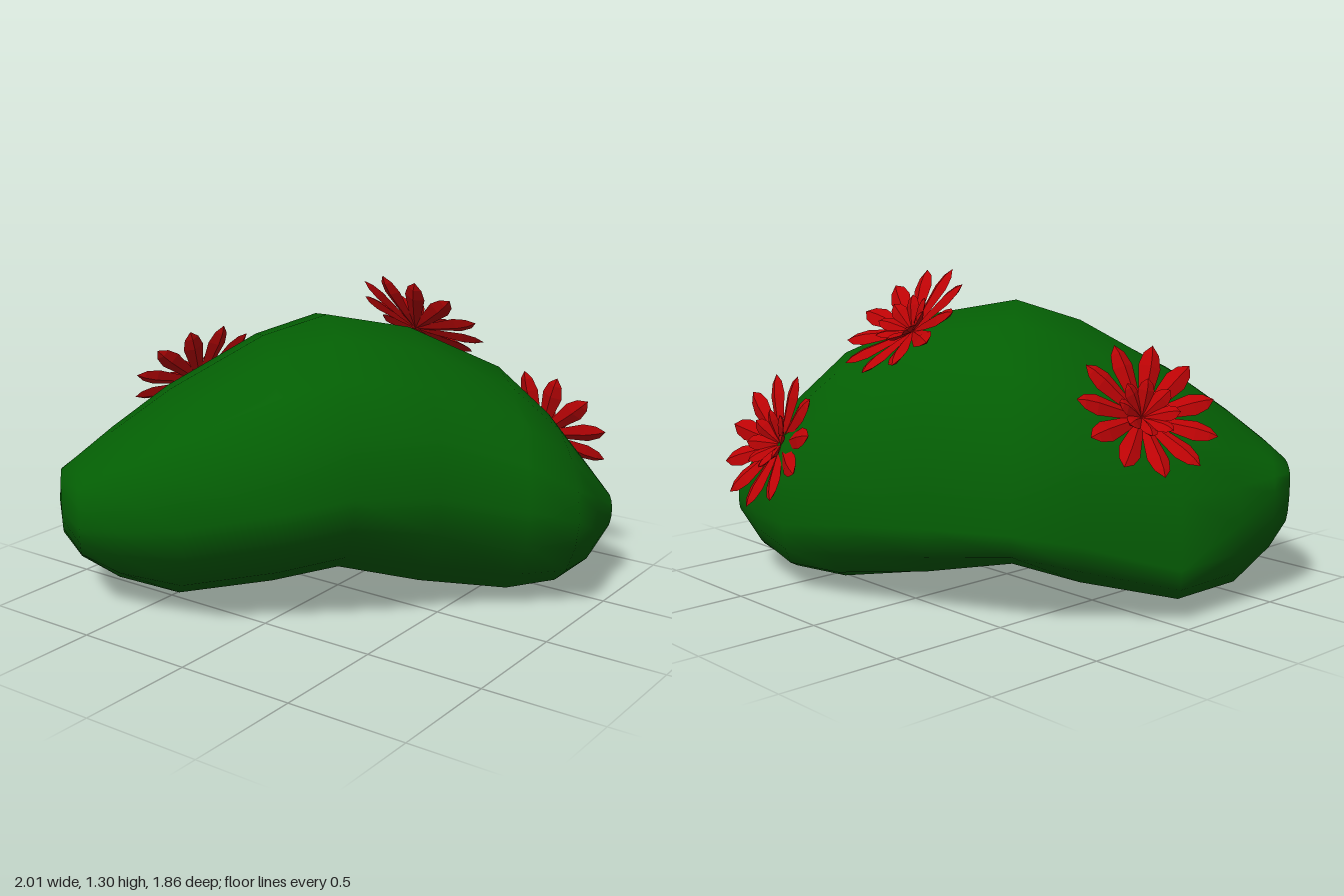
import * as THREE from 'three';
import { mergeGeometries } from 'three/addons/utils/BufferGeometryUtils.js';

// Cross-sections along the bush's long diagonal:
// [along, back, front, ridge, keel, bottom, top, height of back bulge, height of front bulge]
const SECTIONS = [
  [-1.14, -0.25, 0.04, -0.10, -0.12, 0.27, 0.53, 0.48, 0.42],
  [-1.07, -0.33, 0.24, -0.07, -0.14, 0.17, 0.59, 0.44, 0.40],
  [-0.92, -0.46, 0.35, -0.07, -0.21, 0.05, 0.71, 0.34, 0.42],
  [-0.68, -0.68, 0.51, -0.06, -0.12, 0.00, 0.88, 0.22, 0.47],
  [-0.30, -0.76, 0.59, -0.05, -0.04, 0.06, 1.09, 0.33, 0.54],
  [-0.04, -0.80, 0.64, -0.04, 0.06, 0.14, 1.17, 0.38, 0.60],
  [0.30, -0.64, 0.58, -0.02, 0.08, 0.05, 1.11, 0.36, 0.57],
  [0.67, -0.48, 0.55, 0.03, 0.11, 0.00, 0.94, 0.33, 0.48],
  [0.88, -0.36, 0.53, 0.07, 0.12, 0.03, 0.74, 0.30, 0.42],
  [1.04, -0.09, 0.29, 0.11, 0.13, 0.10, 0.53, 0.28, 0.37],
  [1.145, 0.05, 0.17, 0.12, 0.12, 0.24, 0.39, 0.31, 0.33],
];
const SIDES = 16;

function bushGeometry() {
  const pos = [], index = [];
  const add = (u, v, y) => pos.push((u + v) * Math.SQRT1_2, y, (v - u) * Math.SQRT1_2);
  for (const [u, back, front, ridge, keel, bottom, top, yBack, yFront] of SECTIONS) {
    for (let i = 0; i < SIDES; i++) {
      const a = (i / SIDES) * Math.PI * 2;
      const c = Math.cos(a), s = Math.sin(a);
      // each quarter of the loop is its own ellipse: flattened under the front,
      // and fuller above it towards the left end
      const power = c <= 0 ? 0.95 : s < 0 ? 1.2 : 0.9 + 0.15 * u;
      const rise = Math.abs(s) ** power, run = Math.abs(c) ** power;
      const wide = c > 0 ? yFront : yBack;
      const centre = s < 0 ? keel : ridge;
      add(u, centre + run * ((c > 0 ? front : back) - centre),
        wide + rise * ((s > 0 ? top : bottom) - wide));
    }
  }
  const last = SECTIONS.length - 1;
  for (let r = 0; r < last; r++) {
    for (let i = 0; i < SIDES; i++) {
      const j = (i + 1) % SIDES;
      const a = r * SIDES + i, b = r * SIDES + j;
      index.push(a, a + SIDES, b, b, a + SIDES, b + SIDES);
    }
  }
  // end caps
  const start = pos.length / 3;
  add(-1.15, -0.12, 0.41);
  add(1.155, 0.12, 0.32);
  for (let i = 0; i < SIDES; i++) {
    const j = (i + 1) % SIDES;
    index.push(start, i, j, start + 1, last * SIDES + j, last * SIDES + i);
  }
  const g = new THREE.BufferGeometry();
  g.setAttribute('position', new THREE.Float32BufferAttribute(pos, 3));
  g.setIndex(index);
  g.computeVertexNormals();
  return g;
}

// A ring of pointed, four-sided petals opening around +y
function petalRing(count, length, width, lift, turn) {
  const profile = [[0, 0], [0.6, 0.3], [1, 0.7], [0.7, 0.88], [0, 1]]
    .map(([r, h]) => new THREE.Vector2(r * width, h * length));
  const petals = [];
  for (let i = 0; i < count; i++) {
    petals.push(new THREE.LatheGeometry(profile, 4)
      .scale(1, 1, 0.4)
      .rotateX(Math.PI / 2 - lift)
      .rotateY(turn + (i / count) * Math.PI * 2));
  }
  return mergeGeometries(petals);
}

export function createModel() {
  const model = new THREE.Group();
  const leafGreen = new THREE.MeshStandardMaterial({ color: 0x045f04 });
  leafGreen.name = 'leaf green';
  const petalRed = new THREE.MeshStandardMaterial({ color: 0xbc0305, flatShading: true });
  petalRed.name = 'petal red';

  const bush = new THREE.Mesh(bushGeometry(), leafGreen);
  bush.name = 'bush';
  model.add(bush);

  // flowers: position and facing direction
  const outer = petalRing(11, 0.295, 0.045, 0.24, Math.PI / 11);
  const inner = petalRing(8, 0.15, 0.034, 0.6, 0.2);
  const up = new THREE.Vector3(0, 1, 0);
  const flowers = [
    ['topFlower', [0.11, 1.06, -0.41], [0.08, 0.74, -0.67]],
    ['rightFlower', [-0.765, 0.78, -0.02], [-0.74, 0.62, -0.27]],
    ['backFlower', [0.545, 0.585, -0.755], [0.06, 0.41, -0.91]],
  ];
  for (const [name, at, facing] of flowers) {
    const flower = new THREE.Group();
    flower.name = name;
    const outerPetals = new THREE.Mesh(outer, petalRed);
    outerPetals.name = 'outerPetals';
    const innerPetals = new THREE.Mesh(inner, petalRed);
    innerPetals.name = 'innerPetals';
    flower.add(outerPetals, innerPetals);
    flower.position.set(...at);
    flower.quaternion.setFromUnitVectors(up, new THREE.Vector3(...facing).normalize());
    model.add(flower);
  }
  return model;
}
